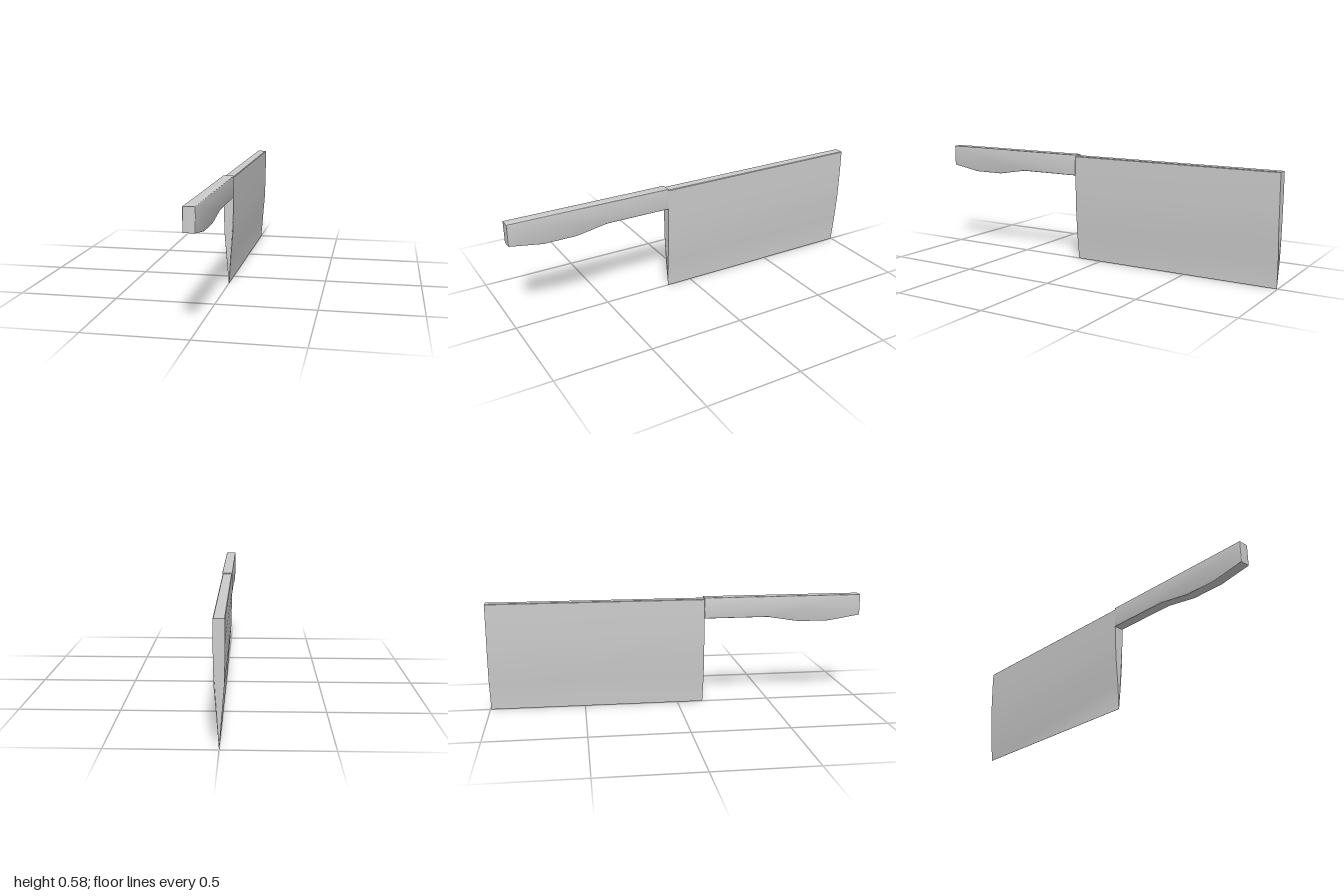
import * as THREE from 'three';
import { toCreasedNormals } from 'three/addons/utils/BufferGeometryUtils.js';

const material = new THREE.MeshStandardMaterial({ color: 0xcccccc });

function part(name, geometry) {
  const mesh = new THREE.Mesh(toCreasedNormals(geometry, 0.6), material);
  mesh.name = name;
  return mesh;
}

const toShape = (points) => new THREE.Shape(points.map(([a, b]) => new THREE.Vector2(a, b)));

// Blade: tapered wedge section (half width, height) mirrored and swept along z
function makeBlade() {
  const half = [[0.0006, 0.003], [0.011, 0.14], [0.0222, 0.28], [0.0245, 0.38], [0.026, 0.48], [0.026, 0.567], [0.023, 0.57]];
  const mirrored = half.map(([x, y]) => [-x, y]).reverse();
  const back = -1, front = 0.143;
  const geometry = new THREE.ExtrudeGeometry(toShape([...half, ...mirrored]), { depth: front - back, bevelEnabled: false });
  geometry.translate(0, 0, back);

  // Pull in the two ends of the cutting edge; lower the edge to the ground
  const pos = geometry.attributes.position;
  for (let i = 0; i < pos.count; i++) {
    if (pos.getY(i) < 0.01) {
      pos.setY(i, 0);
      pos.setZ(i, pos.getZ(i) - Math.sign(pos.getZ(i)) * 0.005);
    }
  }
  return part('blade', geometry);
}

// Handle: side outline (z, y) with a finger swell below, extruded across x
function makeHandle() {
  const outline = [
    [0.143, 0.465], [0.49, 0.465], [0.66, 0.437], [0.83, 0.437],
    [1, 0.465], [1, 0.577], [0.143, 0.577],
  ];
  const width = 0.056, bevel = 0.003;
  const geometry = new THREE.ExtrudeGeometry(toShape(outline), {
    depth: width - 2 * bevel, bevelThickness: bevel, bevelSize: bevel, bevelOffset: -bevel, bevelSegments: 3,
  });
  geometry.translate(0, 0, -width / 2 + bevel);
  geometry.rotateY(-Math.PI / 2);
  return part('handle', geometry);
}

export function createModel() {
  const group = new THREE.Group();
  group.name = 'cleaver';
  group.add(makeBlade(), makeHandle());
  return group;
}
